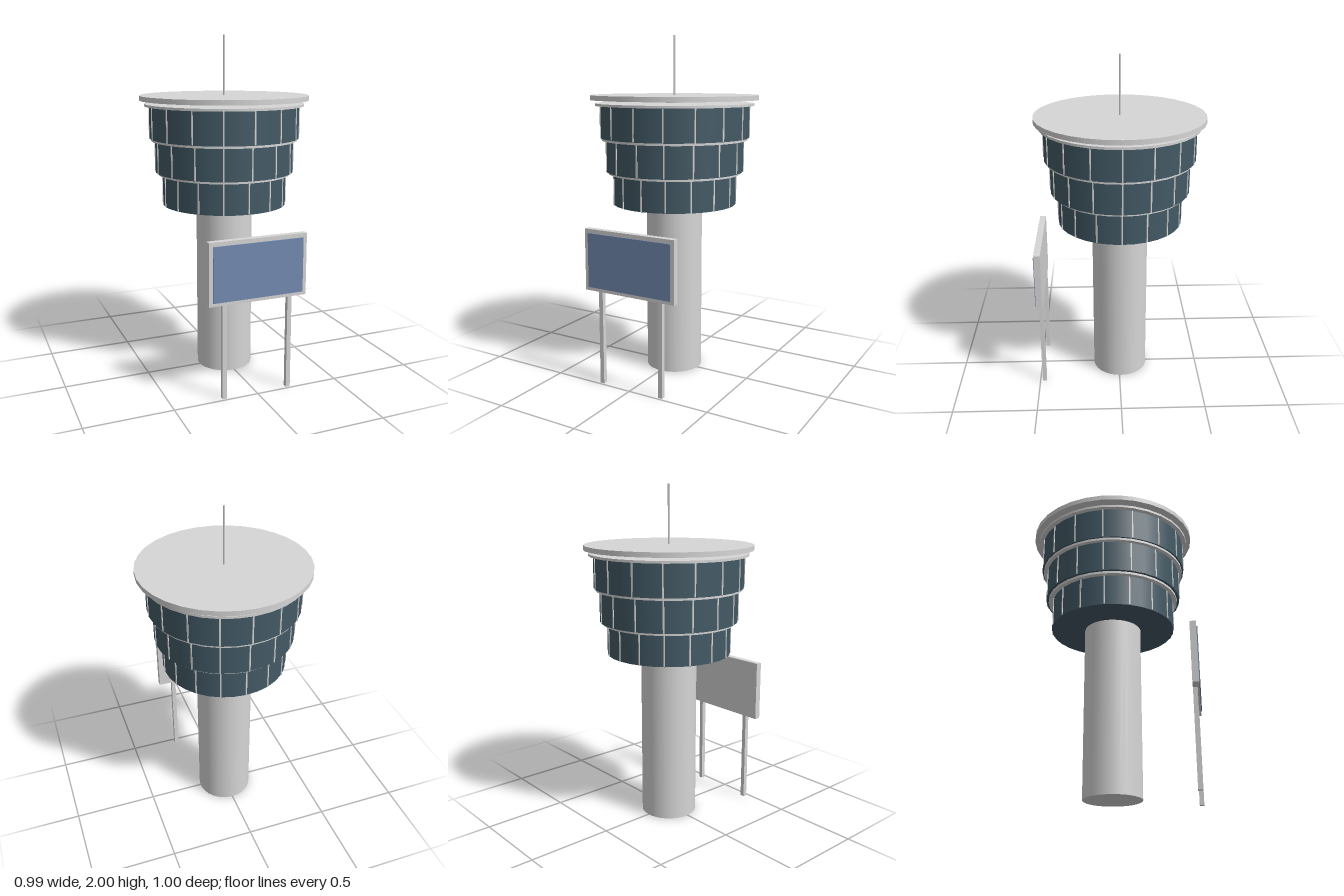
import * as THREE from 'three';

const lightGrey = new THREE.MeshStandardMaterial({ name: 'lightGrey', color: 0xd6d6d6 });
const darkGlass = new THREE.MeshStandardMaterial({ name: 'darkGlass', color: 0x435a66 });
const screenBlue = new THREE.MeshStandardMaterial({ name: 'screenBlue', color: 0x748bb2 });

function add(parent, name, geometry, material, x = 0, y = 0, z = 0) {
  const mesh = new THREE.Mesh(geometry, material);
  mesh.name = name;
  mesh.position.set(x, y, z);
  parent.add(mesh);
  return mesh;
}

// Upright cylinder given by its radius and its bottom and top heights
function drum(parent, name, radius, y0, y1, material, sides = 32) {
  const geometry = new THREE.CylinderGeometry(radius, radius, y1 - y0, sides);
  return add(parent, name, geometry, material, 0, (y0 + y1) / 2, 0);
}

// Box given by its size and centre
function box(parent, name, w, h, d, x, y, z, material) {
  return add(parent, name, new THREE.BoxGeometry(w, h, d), material, x, y, z);
}

export function createModel() {
  const model = new THREE.Group();
  model.name = 'controlTower';

  const tower = new THREE.Group();
  tower.name = 'tower';
  tower.position.z = -0.007;
  model.add(tower);

  drum(tower, 'column', 0.167, 0, 1.016, lightGrey);

  // Three glazed storeys, each wider than the one below and capped by a slab
  const storeys = [
    { name: 'lowerStorey', radius: 0.367, y0: 1.015, y1: 1.197, slab: 0.394 },
    { name: 'middleStorey', radius: 0.409, y0: 1.211, y1: 1.396, slab: 0.432 },
    { name: 'upperStorey', radius: 0.441, y0: 1.41, y1: 1.597, slab: 0.468 },
  ];
  for (const { name, radius, y0, y1, slab } of storeys) {
    const storey = new THREE.Group();
    storey.name = name;
    tower.add(storey);
    drum(storey, 'glazing', radius, y0, y1, darkGlass);
    drum(storey, 'slab', slab, y1, y1 + 0.014, lightGrey);
    // Mullions around the glass
    for (let i = 0; i < 16; i++) {
      const a = (i / 16) * Math.PI * 2;
      const mullion = box(storey, 'mullion', 0.008, y1 - y0 - 0.004, 0.008,
        Math.sin(a) * radius, (y0 + y1) / 2, Math.cos(a) * radius, lightGrey);
      mullion.rotation.y = a;
    }
  }

  // Roof disc on a slim core, with the antenna above
  drum(tower, 'roofCore', 0.05, 1.605, 1.635, lightGrey, 16);
  drum(tower, 'roof', 0.495, 1.63, 1.658, lightGrey);
  drum(tower, 'antenna', 0.006, 1.65, 2, lightGrey, 8);

  // Free-standing sign in front of the tower
  const sign = new THREE.Group();
  sign.name = 'sign';
  model.add(sign);
  box(sign, 'signBoard', 0.588, 0.36, 0.037, 0, 0.736, 0.478, lightGrey);
  box(sign, 'signScreen', 0.542, 0.316, 0.006, 0, 0.734, 0.499, screenBlue);
  for (const side of [-1, 1]) {
    box(sign, 'signPost', 0.026, 0.56, 0.026, side * 0.198, 0.28, 0.473, lightGrey);
  }

  return model;
}
